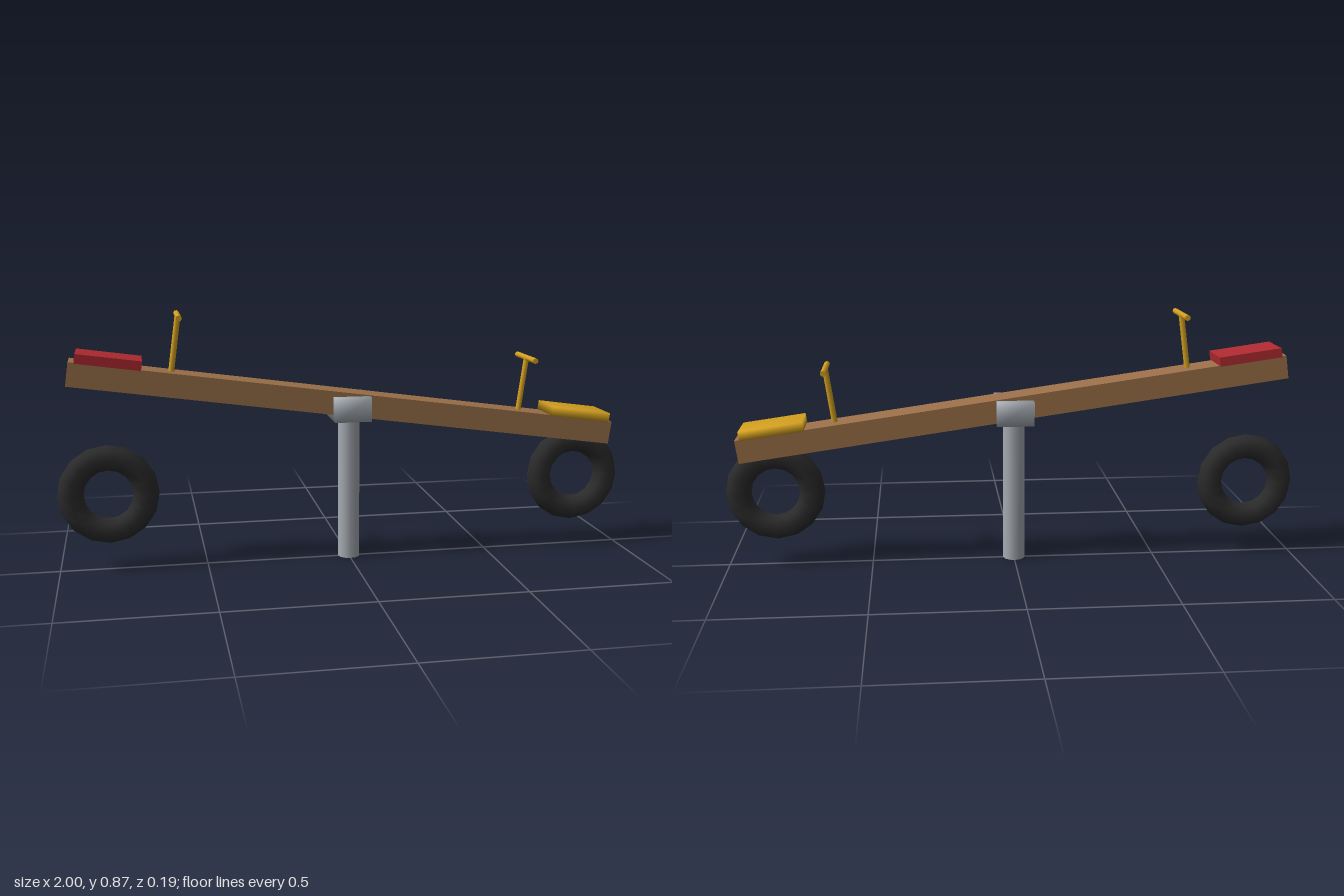
import * as THREE from 'three';
import { mergeVertices } from 'three/addons/utils/BufferGeometryUtils.js';

const material = (name, color) => {
  const m = new THREE.MeshStandardMaterial({ color });
  m.name = name;
  return m;
};

// box with normals shared across its corners, for a softly shaded look
function softBox(w, h, d) {
  const box = new THREE.BoxGeometry(w, h, d);
  box.deleteAttribute('normal');
  box.deleteAttribute('uv');
  const g = mergeVertices(box);
  g.computeVertexNormals();
  return g;
}

export function createModel() {
  const wood = material('wood', 0x9c7149);
  const red = material('redPaint', 0xb02a30);
  const gold = material('goldPaint', 0xd4a020);
  const metal = material('metal', 0xa5abb2);
  const rubber = material('rubber', 0x2b2b2b);

  const model = new THREE.Group();
  model.name = 'seesaw';
  const add = (parent, name, geometry, mat, x, y, z = 0) => {
    const mesh = new THREE.Mesh(geometry, mat);
    mesh.name = name;
    mesh.position.set(x, y, z);
    parent.add(mesh);
    return mesh;
  };

  // fixed support
  add(model, 'post', new THREE.CylinderGeometry(0.038, 0.038, 0.52, 12), metal, 0, 0.26);
  add(model, 'bracket', softBox(0.128, 0.084, 0.18), metal, 0, 0.54);

  // tilting beam and everything mounted on it
  const rocker = new THREE.Group();
  rocker.name = 'rocker';
  rocker.position.set(0, 0.5525, 0);
  rocker.rotation.z = -0.139;
  model.add(rocker);
  add(rocker, 'beam', new THREE.BoxGeometry(1.912, 0.081, 0.115), wood, 0, 0);
  add(rocker, 'rightSeat', new THREE.BoxGeometry(0.217, 0.032, 0.147), red, -0.828, 0.056);
  add(rocker, 'leftSeat', softBox(0.217, 0.032, 0.147), gold, 0.828, 0.056);

  for (const [side, s] of [['right', -1], ['left', 1]]) {
    // T-shaped handle
    const handle = new THREE.Group();
    handle.name = side + 'Handle';
    handle.position.x = 0.618 * s;
    rocker.add(handle);
    add(handle, 'handleStem', new THREE.CylinderGeometry(0.01, 0.01, 0.19, 8), gold, 0, 0.132);
    add(handle, 'handleBar', new THREE.CylinderGeometry(0.01, 0.01, 0.192, 8), gold, 0, 0.228)
      .rotation.x = Math.PI / 2;

    // cushioning tyre under each end
    add(model, side + 'Tyre', new THREE.TorusGeometry(0.127, 0.044, 8, 16), rubber, 0.829 * s, 0.263);
  }
  return model;
}
